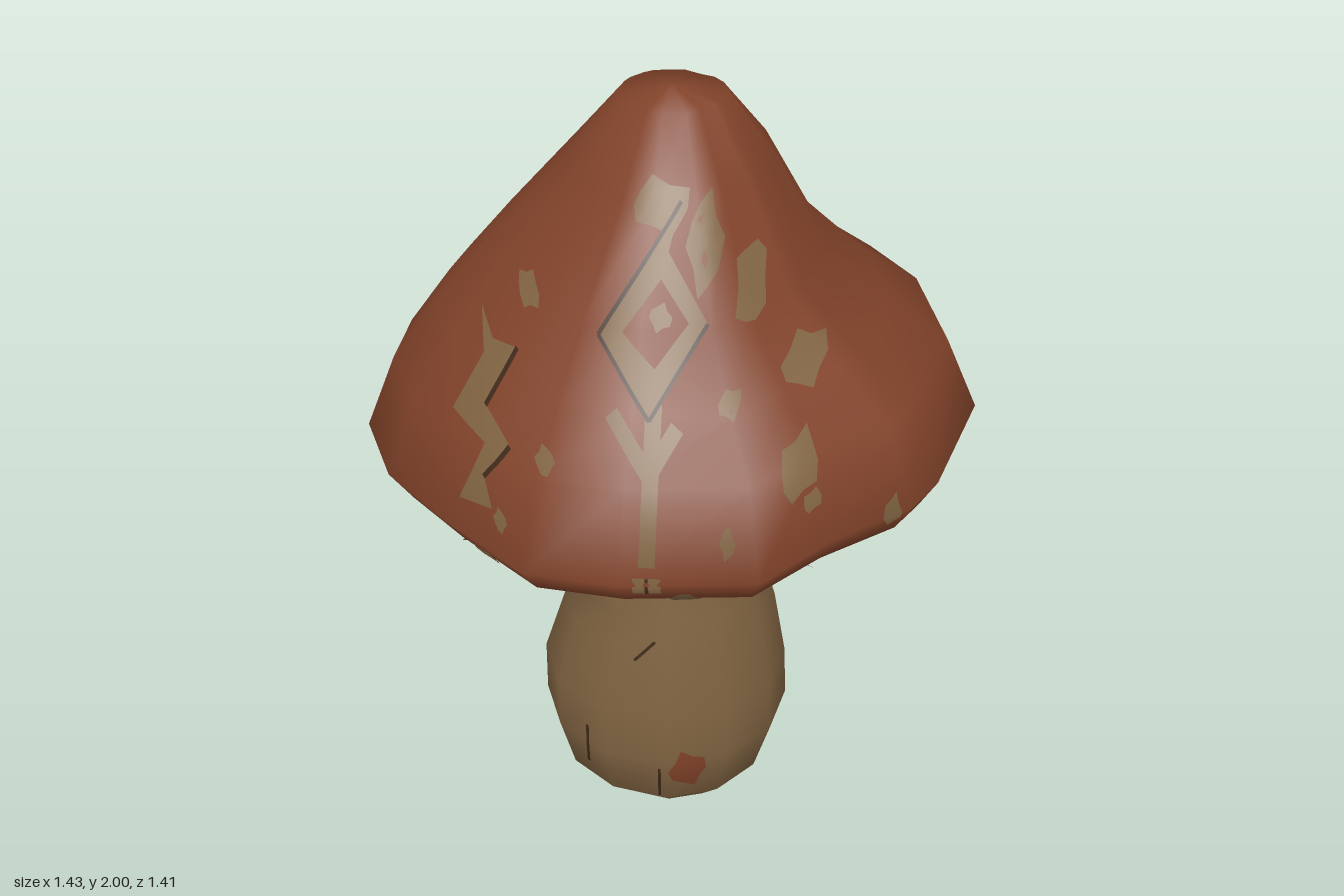
import * as THREE from 'three';

const capRed = new THREE.MeshStandardMaterial({ color: 0x82432a });
const stemTan = new THREE.MeshStandardMaterial({ color: 0x816442 });
const crackBrown = new THREE.MeshStandardMaterial({ color: 0x3f2a1a });

// Skin cross-sections; rings run so that the outside faces out. at(ring, j) -> [x, y, z]
function loft(rings, n, at) {
  const pos = [], index = [];
  rings.forEach((ring) => { for (let j = 0; j < n; j++) pos.push(...at(ring, j)); });
  for (let i = 0; i < rings.length - 1; i++) {
    for (let j = 0; j < n; j++) {
      const k = (j + 1) % n, a = i * n + j, b = i * n + k, c = a + n, d = b + n;
      index.push(a, c, b, b, c, d);
    }
  }
  const g = new THREE.BufferGeometry();
  g.setAttribute('position', new THREE.Float32BufferAttribute(pos, 3));
  g.setIndex(index);
  g.computeVertexNormals();
  return g;
}

// Ring format: [y, reach +x, reach -x, reach +z, reach -z]
const stretch = ([y, xr, xl, zf, zb], u, v) => [u * (u > 0 ? xr : xl), y, v * (v > 0 ? zf : zb)];

function add(group, name, geometry, material) {
  const mesh = new THREE.Mesh(geometry, material);
  mesh.name = name;
  group.add(mesh);
  return mesh;
}

// Lay flat shapes on a surface, seen from the given angle around y
const ray = new THREE.Raycaster();
const UP = new THREE.Vector3(0, 1, 0);
function drape(shapes, target, angle, lift = 0.005) {
  const pos = [], nor = [];
  const dir = new THREE.Vector3(0, 0, -1).applyAxisAngle(UP, angle);
  const hit = (p) => {
    ray.set(new THREE.Vector3(p.x, p.y, 2).applyAxisAngle(UP, angle), dir);
    return ray.intersectObject(target)[0];
  };
  const emit = (a, b, c) => {
    const t = [a, b, c], len = t.map((p, i) => p.distanceTo(t[(i + 1) % 3]));
    const i = len.indexOf(Math.max(...len));
    if (len[i] > 0.04) {
      const p = t[i], q = t[(i + 1) % 3], r = t[(i + 2) % 3], m = p.clone().lerp(q, 0.5);
      emit(p, m, r);
      emit(m, q, r);
      return;
    }
    const hits = t.map(hit);
    if (hits.some((h) => !h)) return;
    hits.forEach((h) => {
      pos.push(...h.point.clone().addScaledVector(h.normal, lift).toArray());
      nor.push(...h.normal.toArray());
    });
  };
  shapes.forEach((shape) => {
    const p = new THREE.ShapeGeometry(shape, 4).toNonIndexed().attributes.position;
    for (let i = 0; i < p.count; i += 3) {
      emit(...[0, 1, 2].map((k) => new THREE.Vector3().fromBufferAttribute(p, i + k)));
    }
  });
  const g = new THREE.BufferGeometry();
  g.setAttribute('position', new THREE.Float32BufferAttribute(pos, 3));
  g.setAttribute('normal', new THREE.Float32BufferAttribute(nor, 3));
  return g;
}

const poly = (pts) => new THREE.Shape(pts.map(([x, y]) => new THREE.Vector2(x, y)));

// Irregular spot
function blob([x, y, w, h]) {
  const pts = [];
  for (let i = 0; i < 10; i++) {
    const a = (i / 10) * Math.PI * 2;
    const r = 0.5 + 0.1 * Math.sin(i * 2.6 + x * 40 + y * 17);
    pts.push([x + Math.cos(a) * w * r, y + Math.sin(a) * h * r]);
  }
  return poly(pts);
}

// Narrow strip between two points
function strip([x1, y1, x2, y2], w) {
  const l = Math.hypot(x2 - x1, y2 - y1), nx = (-(y2 - y1) / l) * w / 2, ny = ((x2 - x1) / l) * w / 2;
  return poly([[x1 + nx, y1 + ny], [x1 - nx, y1 - ny], [x2 - nx, y2 - ny], [x2 + nx, y2 + ny]]);
}

export function createModel() {
  const model = new THREE.Group();
  model.name = 'mushroom';

  // Cap: uneven outline carried through every ring, low side tilted
  const outline = [[0, -0.705], [0.165, -0.705], [0.35, -0.57], [0.535, -0.47], [0.65, -0.29], [0.715, 0.03],
    [0.61, 0.34], [0.55, 0.43], [0.37, 0.55], [0.21, 0.7], [-0.09, 0.7], [-0.3, 0.65], [-0.5, 0.44],
    [-0.64, 0.27], [-0.715, 0.06], [-0.69, -0.13], [-0.64, -0.29], [-0.57, -0.42], [-0.39, -0.6],
    [-0.275, -0.67], [-0.1, -0.705]];
  const capRings = [
    [1.14, 0, 0, 0, 0], [1.14, 0.5, 0.5, 0.5, 0.5], [1.1, 0.59, 0.58, 0.55, 0.57],
    [1.065, 0.63, 0.61, 0.58, 0.62], [1.08, 0.67, 0.66, 0.62, 0.66], [1.165, 0.715, 0.715, 0.705, 0.705],
    [1.345, 0.64, 0.645, 0.61, 0.625], [1.47, 0.5, 0.54, 0.51, 0.52], [1.62, 0.345, 0.42, 0.4, 0.4],
    [1.84, 0.23, 0.23, 0.27, 0.25], [1.985, 0.125, 0.115, 0.115, 0.1], [2, 0, 0, 0, 0],
  ];
  const cap = add(model, 'cap', loft(capRings, outline.length, (ring, j) => {
    const [x, y, z] = stretch(ring, outline[j][0] / 0.715, outline[j][1] / 0.705);
    return [x, y < 1.4 ? y + 0.045 * x - 0.025 * z * (y < 1.1) : y, z];
  }), capRed);

  // Gills: folded disc under the cap
  const folds = 76;
  const gillRings = [[0.12, 1.05, 0.01], [0.28, 1.015, 0.025], [0.45, 1.035, 0.03], [0.6, 1.1, 0.03]];
  const gills = loft(gillRings, folds, ([r, y, depth], j) => {
    const a = (j / folds) * Math.PI * 2 + 0.25 * r + 0.02 * Math.sin(j * 5.3);
    const x = Math.cos(a) * r, z = Math.sin(a) * r;
    const fold = (j % 2 ? 1 : -1) * depth * (0.8 + 0.4 * Math.sin(j * 2.1));
    return [x, y + fold + 0.045 * x - 0.025 * z, z];
  }).toNonIndexed();
  gills.computeVertexNormals();
  add(model, 'gills', gills, stemTan);

  // Stem: bulbous, with a small swelling high on one side
  const stemRings = [
    [0, 0, 0, 0, 0], [0.005, 0.08, 0.06, 0.08, 0.07], [0.05, 0.17, 0.16, 0.17, 0.16],
    [0.14, 0.25, 0.28, 0.26, 0.26], [0.28, 0.295, 0.32, 0.29, 0.3], [0.42, 0.29, 0.32, 0.285, 0.32],
    [0.6, 0.26, 0.265, 0.265, 0.275], [0.69, 0.235, 0.24, 0.245, 0.245], [0.8, 0.2, 0.275, 0.23, 0.21],
    [0.95, 0.18, 0.22, 0.205, 0.185], [1.1, 0.175, 0.2, 0.2, 0.18],
  ];
  const stem = add(model, 'stem', loft(stemRings, 12, (ring, j) => {
    const a = (j / 12) * Math.PI * 2;
    return stretch(ring, Math.cos(a), Math.sin(a));
  }), stemTan);

  // Carved diamond sign with its branching stalk
  const diamond = poly([[-0.14, 1.6], [-0.03, 1.46], [0.09, 1.63], [0.005, 1.76], [0.03, 1.85]]);
  diamond.holes.push(new THREE.Path([[-0.09, 1.61], [-0.01, 1.71], [0.05, 1.63], [-0.02, 1.55]]
    .map(([x, y]) => new THREE.Vector2(x, y))));
  const sign = [diamond, blob([-0.01, 1.64, 0.045, 0.05]), strip([-0.02, 1.49, -0.03, 1.2], 0.035),
    strip([-0.11, 1.47, -0.03, 1.37], 0.032), strip([0.03, 1.45, -0.02, 1.38], 0.032),
    strip([-0.03, 1.18, -0.03, 1.12], 0.06)];
  add(model, 'diamondSign', drape(sign, cap, 0), stemTan);

  // Carved zigzag sign
  const zigzag = poly([[-0.41, 1.55], [-0.38, 1.51], [-0.32, 1.52], [-0.39, 1.4], [-0.33, 1.36], [-0.39, 1.28],
    [-0.37, 1.23], [-0.45, 1.21], [-0.39, 1.34], [-0.47, 1.36], [-0.4, 1.48]]);
  add(model, 'zigzagSign', drape([zigzag], cap, 0), stemTan);

  // Dark cut edges along the signs
  const cuts = [[-0.14, 1.6, 0.03, 1.85], [-0.14, 1.6, -0.03, 1.46], [0.09, 1.63, -0.03, 1.46],
    [-0.32, 1.52, -0.39, 1.4], [-0.33, 1.36, -0.39, 1.28], [-0.03, 1.18, -0.03, 1.12]];
  add(model, 'signEdges', drape(cuts.map((c) => strip(c, 0.008)), cap, 0, 0.007), crackBrown);

  // Pale spots on the cap
  const capSpots = [[-0.01, 1.84, 0.12, 0.09], [0.08, 1.77, 0.07, 0.17], [0.18, 1.67, 0.07, 0.15],
    [0.3, 1.51, 0.1, 0.09], [0.29, 1.35, 0.08, 0.11], [0.14, 1.49, 0.05, 0.05], [0.14, 1.25, 0.03, 0.06],
    [0.5, 1.19, 0.04, 0.08], [0.32, 1.28, 0.04, 0.04], [-0.3, 1.62, 0.05, 0.06], [0.05, 1.08, 0.06, 0.06],
    [-0.25, 1.37, 0.04, 0.05], [-0.39, 1.1, 0.06, 0.06], [-0.35, 1.22, 0.03, 0.04]];
  add(model, 'capSpots', drape(capSpots.map(blob), cap, 0), stemTan);
  add(model, 'backCapSpot', drape([blob([0.09, 1.12, 0.07, 0.06])], cap, -Math.PI * 0.75), stemTan);

  // Red stains around the stem, grouped by facing
  const stains = [
    [0, [[0.05, 0.25, 0.09, 0.12], [-0.18, 0.98, 0.07, 0.09]]],
    [Math.PI / 2, [[0, 0.93, 0.08, 0.1], [-0.12, 0.98, 0.03, 0.07]]],
    [-Math.PI * 0.75, [[0.03, 0.66, 0.05, 0.11], [0.06, 0.45, 0.04, 0.06], [0.14, 0.27, 0.04, 0.04],
      [0.14, 0.88, 0.04, 0.04]]],
  ];
  stains.forEach(([angle, spots]) => add(model, 'stemStains', drape(spots.map(blob), stem, angle), capRed));

  // Fine cracks on the stem front
  const cracks = [[-0.2, 0.2, -0.2, 0.34], [-0.02, 0.15, -0.02, 0.26], [-0.08, 0.58, -0.03, 0.64],
    [-0.08, 0.89, -0.03, 0.94], [-0.03, 0.94, 0.02, 0.91], [0.12, 0.8, 0.1, 0.95]];
  add(model, 'stemCracks', drape(cracks.map((c) => strip(c, 0.007)), stem, 0), crackBrown);

  return model;
}
